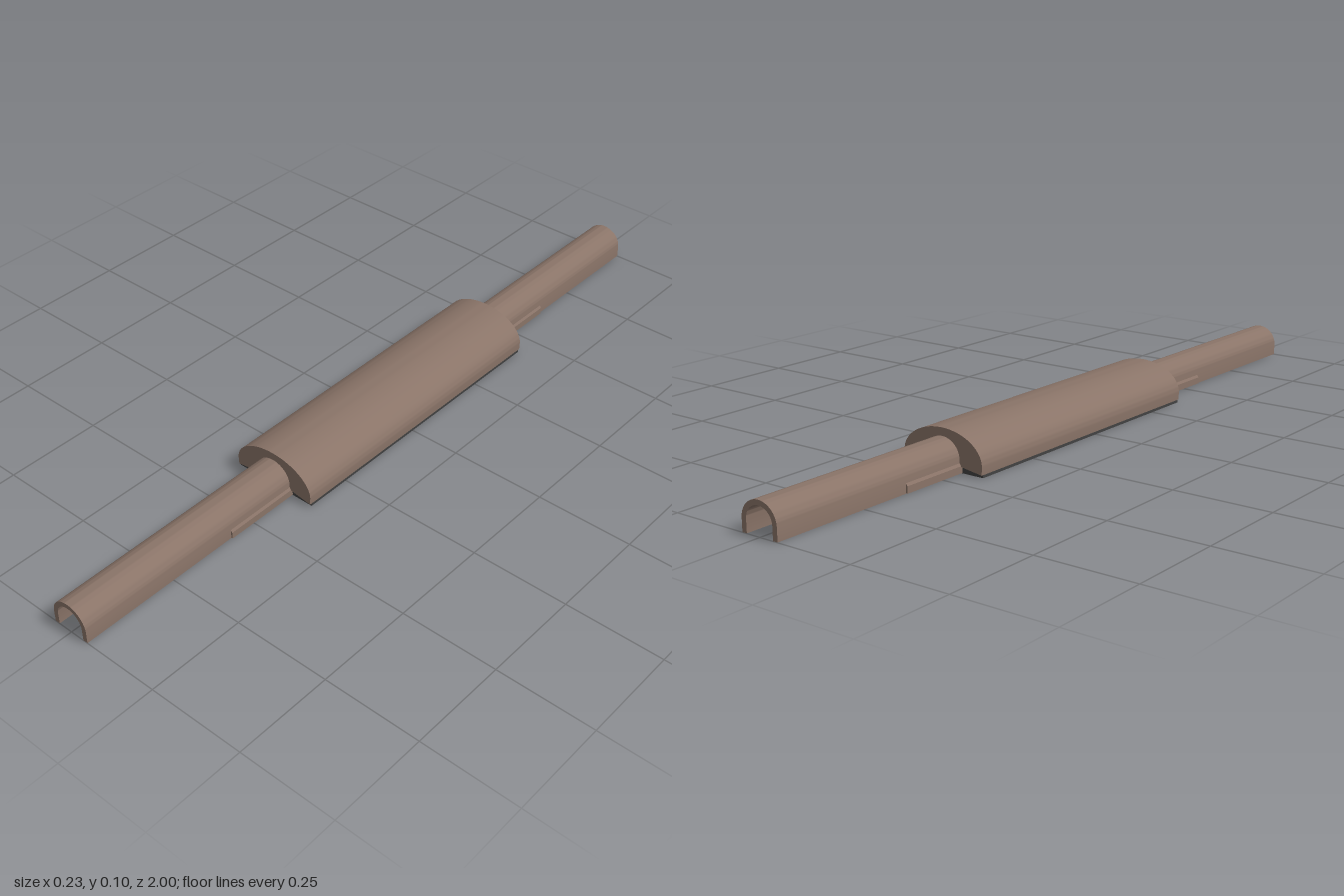
import * as THREE from 'three';
import { toCreasedNormals } from 'three/addons/utils/BufferGeometryUtils.js';

const brown = new THREE.MeshStandardMaterial({ color: 0x8a7468 });
brown.name = 'brown shell';
const dark = new THREE.MeshStandardMaterial({ color: 0x424242 });
dark.name = 'dark underside';

// Extrude an x/y section between two z positions, smoothing the curved walls
function extrude(name, shape, z0, z1, material) {
  const raw = new THREE.ExtrudeGeometry(shape, { depth: z1 - z0, bevelEnabled: false, curveSegments: 20 });
  raw.translate(0, 0, z0);
  const mesh = new THREE.Mesh(toCreasedNormals(raw, 0.5), material);
  mesh.name = name;
  return mesh;
}

const polygon = (points) => new THREE.Shape(points.map(([x, y]) => new THREE.Vector2(x, y)));

// Inverted U: outer arch going over, inner arch coming back
function channelShape() {
  const s = new THREE.Shape();
  s.moveTo(0.051, 0.0005);
  s.lineTo(0.051, 0.032);
  s.absellipse(0, 0.032, 0.051, 0.048, 0, Math.PI, false);
  s.lineTo(-0.051, 0.0005);
  s.lineTo(-0.038, 0.0005);
  s.lineTo(-0.038, 0.032);
  s.absellipse(0, 0.032, 0.038, 0.036, Math.PI, 0, true);
  s.lineTo(0.038, 0.0005);
  s.closePath();
  return s;
}

// Wide oval cover, hollowed where the channel passes through
function coverShape() {
  const s = new THREE.Shape();
  s.moveTo(0.115, 0.007);
  s.lineTo(0.116, 0.027);
  s.absellipse(0, 0.027, 0.116, 0.073, 0, Math.PI, false);
  s.lineTo(-0.115, 0.007);
  s.lineTo(-0.05, 0.017);
  s.lineTo(-0.05, 0.032);
  s.absellipse(0, 0.032, 0.05, 0.047, Math.PI, 0, true);
  s.lineTo(0.05, 0.017);
  s.closePath();
  return s;
}

export function createModel() {
  const group = new THREE.Group();
  group.name = 'coveredChannel';

  group.add(extrude('channel', channelShape(), -1, 1, brown));
  group.add(extrude('cover', coverShape(), -0.44, 0.375, brown));

  // Floor strip closing the channel from below, short of both ends
  group.add(extrude('floorStrip',
    polygon([[-0.038, 0.001], [0.038, 0.001], [0.038, 0.008], [-0.038, 0.008]]), -0.85, 0.85, dark));

  // Base plate under the cover
  group.add(extrude('basePlate',
    polygon([[-0.115, 0], [0.115, 0], [0.115, 0.004], [-0.115, 0.004]]), -0.435, 0.37, dark));

  for (const side of [1, -1]) {
    // Sloped pads filling the space between base plate and cover
    const pad = polygon([[0.05, 0.002], [0.115, 0.002], [0.115, 0.007], [0.05, 0.017]]
      .map(([x, y]) => [side * x, y]));
    group.add(extrude(side > 0 ? 'leftPad' : 'rightPad', pad, -0.435, 0.37, dark));

    // Slim skirts thickening the foot of the channel walls
    const skirt = polygon([[0.05, 0.001], [0.055, 0.001], [0.055, 0.018], [0.05, 0.026]]
      .map(([x, y]) => [side * x, y]));
    group.add(extrude(side > 0 ? 'leftSkirt' : 'rightSkirt', skirt, -0.62, 0.57, brown));
  }
  return group;
}
